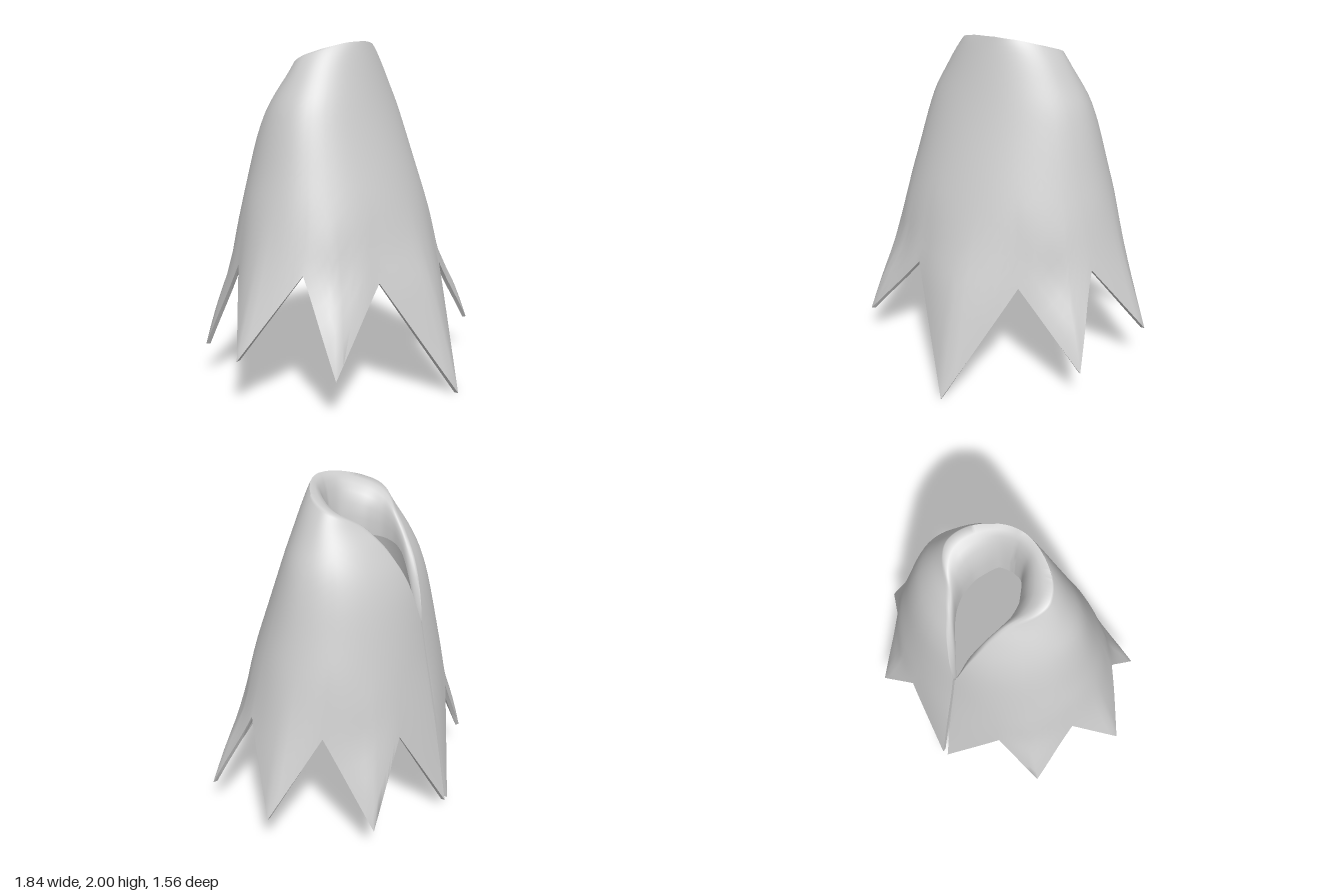
import * as THREE from 'three';
import { toCreasedNormals } from 'three/addons/utils/BufferGeometryUtils.js';

// Interpolate a table of [key, value] pairs with smooth monotone slopes
function sample(table, k) {
  const last = table.length - 1;
  if (k <= table[0][0]) return table[0][1];
  if (k >= table[last][0]) return table[last][1];
  let i = 0;
  while (k > table[i + 1][0]) i++;
  const h = table[i + 1][0] - table[i][0];
  const t = (k - table[i][0]) / h;
  const slope = (j) => (table[j + 1][1] - table[j][1]) / (table[j + 1][0] - table[j][0]);
  const tangent = (j) => {
    if (j === 0) return slope(0);
    if (j === last) return slope(last - 1);
    const a = slope(j - 1), b = slope(j);
    return a * b <= 0 ? 0 : (2 * a * b) / (a + b);
  };
  const t2 = t * t, t3 = t2 * t;
  return table[i][1] * (2 * t3 - 3 * t2 + 1) + table[i + 1][1] * (3 * t2 - 2 * t3)
    + h * (tangent(i) * (t3 - 2 * t2 + t) + tangent(i + 1) * (t3 - t2));
}

// Radii of the cloth by height: sideways, forwards and backwards
const SIDE = [[0, 1.01], [0.28, 0.92], [0.8, 0.73], [1.2, 0.61], [1.6, 0.49], [1.75, 0.41], [1.95, 0.28], [2, 0.22]];
const FRONT = [[0, 0.86], [0.66, 0.65], [0.8, 0.59], [1.2, 0.45], [1.6, 0.315], [2, 0.2]];
const BACK = [[0.07, 0.7], [0.66, 0.59], [1, 0.52], [1.4, 0.44], [1.55, 0.39], [1.71, 0.3], [1.83, 0.21], [1.95, 0.15]];
const CENTRE_Z = -0.08;
const END = 179.4;

// Zigzag hem as angle in degrees from the front, then x, y, z of each tip and notch
const HEM = [
  [0, 0, 0, 0.78], [26, 0.335, 0.67, 0.455], [50.5, 0.73, 0.22, 0.445], [63, 0.67, 0.74, 0.18], [90, 0.92, 0.28, -0.08],
  [114, 0.665, 0.74, -0.29], [138.5, 0.63, 0.2, -0.6], [155, 0.33, 0.66, -0.6], [END, 0.018, 0.07, -0.78],
];
// Neckline height by angle, then the x, z and depth of the collar's inner edge
const NECK = [[0, 2], [30, 1.99], [60, 1.96], [90, 1.92], [120, 1.88], [142, 1.83], [161, 1.71], [172, 1.52], [END, 1.25]];
const LIP_X = [[0, 0], [30, 0.065], [60, 0.11], [90, 0.14], [120, 0.145], [142, 0.13], [161, 0.095], [172, 0.045], [END, 0.004]];
const LIP_Z = [[0, 0.04], [30, 0.02], [60, -0.05], [90, -0.13], [120, -0.21], [142, -0.29], [161, -0.37], [172, -0.45], [END, -0.525]];
const DEPTH = [[0, 0.37], [90, 0.28], [142, 0.2], [161, 0.12], [172, 0.07], [END, 0.04]];
const THICK = 0.025;
const ROWS = 22;
const ROLL_STEPS = 6;
const STRAIGHTEN_TOP = 1.1;

function bodyPoint(angle, y) {
  const a = THREE.MathUtils.degToRad(angle);
  const c = Math.cos(a);
  return new THREE.Vector3(sample(SIDE, y) * Math.sin(a), y, CENTRE_Z + c * sample(c > 0 ? FRONT : BACK, y));
}

// Straight line between neighbouring tips and notches
function hemPoint(angle) {
  let i = 0;
  while (i < HEM.length - 2 && angle > HEM[i + 1][0]) i++;
  const t = (angle - HEM[i][0]) / (HEM[i + 1][0] - HEM[i][0]);
  return new THREE.Vector3(...HEM[i].slice(1)).lerp(new THREE.Vector3(...HEM[i + 1].slice(1)), t);
}

function moveIn(p, distance) {
  const k = 1 - distance / Math.hypot(p.x, p.z - CENTRE_Z);
  return new THREE.Vector3(p.x * k, p.y, CENTRE_Z + (p.z - CENTRE_Z) * k);
}

// Closed loop of one column: up the outside, over the collar, down the inside
function column(signedAngle) {
  const angle = Math.abs(signedAngle);
  const hem = hemPoint(angle);
  const neck = sample(NECK, angle), depth = sample(DEPTH, angle);
  const shift = hem.clone().sub(bodyPoint(angle, hem.y));
  // Hollow where the diagonal points leave the body
  const hollow = 0.035 * (Math.exp(-Math.pow((angle - 47) / 13, 2)) + 0.5 * Math.exp(-Math.pow((angle - 136) / 13, 2)));
  // The round body eases into the flat points of the hem
  const wall = (y) => {
    const w = Math.pow(Math.max(0, (STRAIGHTEN_TOP - y) / (STRAIGHTEN_TOP - hem.y)), 1.4);
    const p = bodyPoint(angle, y).addScaledVector(shift, w);
    return moveIn(p, hollow * Math.exp(-Math.pow((y - 0.68) / 0.17, 2)));
  };
  const outer = [], inner = [];
  for (let i = 0; i <= ROWS; i++) {
    const t = 1 - Math.pow(1 - i / ROWS, 1.5);
    outer.push(wall(hem.y + (neck - hem.y) * t));
    inner.push(moveIn(wall(hem.y + (neck - depth - hem.y) * t), THICK));
  }
  const crest = outer[ROWS];
  const lip = new THREE.Vector3(sample(LIP_X, angle), neck - depth, sample(LIP_Z, angle));
  inner[ROWS] = lip;
  const bend = new THREE.Vector3(lip.x, neck - 0.01, lip.z).lerp(crest, 0.08);
  const curve = new THREE.QuadraticBezierCurve3(crest, bend, lip);
  const points = [...outer, ...curve.getPoints(ROLL_STEPS).slice(1, -1), ...inner.reverse()];
  if (signedAngle < 0) points.forEach((p) => { p.x = -p.x; });
  return points;
}

function capeGeometry() {
  // Column angles keep every tip and notch of the hem exact
  const half = [];
  for (let k = 0; k < HEM.length - 1; k++) {
    const steps = k === HEM.length - 2 ? 12 : 6;
    for (let j = 0; j < steps; j++) half.push(HEM[k][0] + (HEM[k + 1][0] - HEM[k][0]) * j / steps);
  }
  half.push(END);
  const angles = [...half.slice(1).reverse().map((a) => -a), ...half];

  const positions = [], index = [];
  const loop = 2 * ROWS + 1 + ROLL_STEPS;
  for (const a of angles) for (const p of column(a)) positions.push(p.x, p.y, p.z);
  const quad = (a, b, c, d) => index.push(a, b, c, a, c, d);
  for (let c = 0; c < angles.length - 1; c++) {
    for (let p = 0; p < loop; p++) {
      const q = (p + 1) % loop, l = c * loop, r = l + loop;
      quad(l + p, r + p, r + q, l + q);
    }
  }
  // Close the two edges of the back slit
  const e = (angles.length - 1) * loop;
  for (let i = 0; i < ROWS; i++) {
    const n = loop - 1 - i;
    quad(e + i + 1, e + i, e + n, e + n - 1);
    quad(n - 1, n, i, i + 1);
  }
  const lip = ROWS + ROLL_STEPS;
  for (let p = ROWS; p < lip - 1; p++) {
    index.push(e + lip, e + p + 1, e + p, p, p + 1, lip);
  }

  const geometry = new THREE.BufferGeometry();
  geometry.setAttribute('position', new THREE.Float32BufferAttribute(positions, 3));
  geometry.setIndex(index);
  return toCreasedNormals(geometry, 1.25);
}

export function createModel() {
  const group = new THREE.Group();
  group.name = 'zigzagCape';
  const cloth = new THREE.MeshStandardMaterial({ color: 0xcccccc });
  cloth.name = 'light grey cloth';
  const cape = new THREE.Mesh(capeGeometry(), cloth);
  cape.name = 'cape';
  group.add(cape);
  return group;
}
